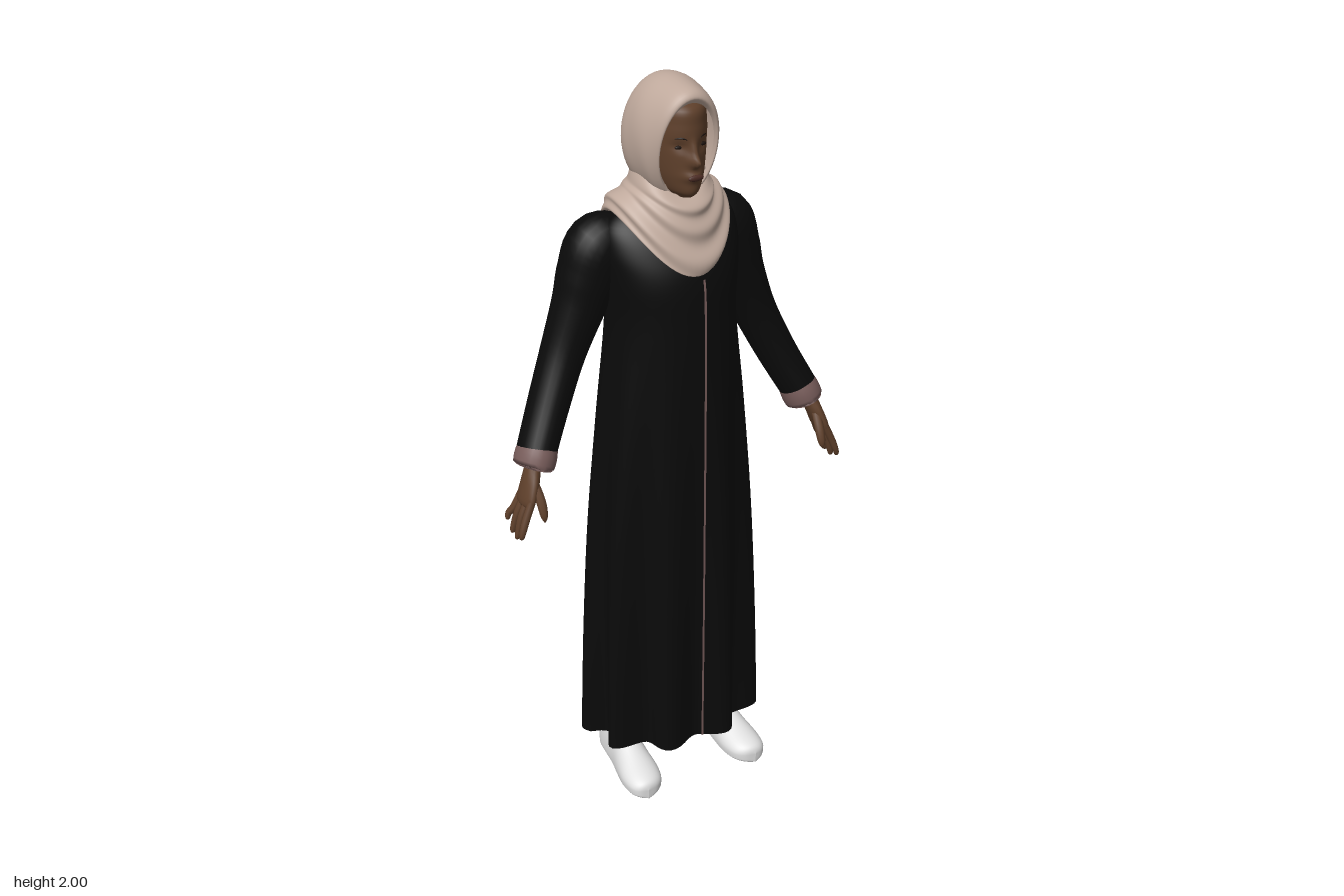
import * as THREE from 'three';

const mat = (name, color, side = THREE.FrontSide) => {
  const m = new THREE.MeshStandardMaterial({ color, side });
  m.name = name;
  return m;
};

// Smooth interpolation through rows of numbers, t from 0 to 1
function along(rows, t) {
  const n = rows.length - 1, f = Math.min(Math.max(t, 0), 1) * n;
  const i = Math.min(Math.floor(f), n - 1), k = f - i;
  const row = (j) => rows[Math.min(Math.max(j, 0), n)];
  return row(i).map((b, c) => {
    const a = row(i - 1)[c], d = row(i + 1)[c], e = row(i + 2)[c];
    return b + 0.5 * k * (d - a + k * (2 * a - 5 * b + 4 * d - e + k * (3 * (b - d) + e - a)));
  });
}

// Skin a grid of points; u runs round the ring, v along the rows
function skin(fn, nu, nv, closed = true) {
  const pos = [], index = [], w = closed ? nu : nu + 1;
  for (let j = 0; j <= nv; j++)
    for (let i = 0; i < w; i++) pos.push(...fn(i / nu, j / nv));
  for (let j = 0; j < nv; j++)
    for (let i = 0; i < nu; i++) {
      const a = j * w + i, b = j * w + ((i + 1) % w), c = a + w, d = b + w;
      index.push(a, b, c, b, d, c);
    }
  const g = new THREE.BufferGeometry();
  g.setAttribute('position', new THREE.Float32BufferAttribute(pos, 3));
  g.setIndex(index);
  g.computeVertexNormals();
  return g;
}

// Limb along rows of [x, y, z, thickness radius, depth radius]
function limb(rows, nu = 12, nv = 12) {
  return skin((u, v) => {
    const [x, y, z, rn, rb] = along(rows, v), a = u * Math.PI * 2;
    const p = along(rows, v - 0.01), q = along(rows, v + 0.01);
    const T = new THREE.Vector3(q[0] - p[0], q[1] - p[1], q[2] - p[2]).normalize();
    const B = new THREE.Vector3(0, 0, 1).addScaledVector(T, -T.z).normalize();
    const N = B.clone().cross(T);
    return new THREE.Vector3(x, y, z)
      .addScaledVector(N, Math.max(rn, 0) * Math.cos(a))
      .addScaledVector(B, Math.max(rb, 0) * Math.sin(a)).toArray();
  }, nu, nv);
}

// Robe rows: height, half width, front z, back z
const robeRows = [
  [0.125, 0.268, 0.197, -0.184], [0.45, 0.256, 0.187, -0.172], [0.8, 0.235, 0.176, -0.16],
  [1.12, 0.203, 0.166, -0.148], [1.37, 0.174, 0.157, -0.137], [1.5, 0.18, 0.149, -0.127],
  [1.58, 0.185, 0.118, -0.118], [1.64, 0.168, 0.075, -0.105], [1.68, 0.1, 0.03, -0.07], [1.69, 0, 0, 0]];

function robePoint(b, t) {
  const [y, hw, zf, zb] = along(robeRows, t);
  const w = Math.min(Math.max((1.35 - y) / 1.2, 0), 1);
  const fold = 1 + (Math.cos(b) > 0 ? 0.11 : 0.06) * w * (-Math.cos(9 * b) - 1);
  const mid = (zf + zb) * 0.25 * (1 - Math.abs(Math.cos(b)));
  const z = Math.cos(b) * (Math.cos(b) > 0 ? zf : -zb);
  return [hw * Math.sin(b) * fold, y, z * fold + mid];
}

// Head rows: height, half width, front z, back z
const headRows = [
  [1.6, 0.05, 0.05, -0.06], [1.7, 0.05, 0.07, -0.06], [1.718, 0.035, 0.11, -0.06],
  [1.735, 0.05, 0.127, -0.07], [1.765, 0.063, 0.13, -0.08], [1.8, 0.071, 0.13, -0.09],
  [1.85, 0.077, 0.128, -0.09], [1.9, 0.077, 0.128, -0.08], [1.945, 0.066, 0.115, -0.06], [1.97, 0, 0.03, 0.03]];

function headPoint(u, v) {
  const b = u * Math.PI * 2, [y, hw, zf, zb] = along(headRows, v);
  const x = hw * Math.sin(b), c = Math.cos(b);
  let z = c * (c > 0 ? zf : -zb);
  if (c > 0) {
    const bump = (px, py, sx, sy) => Math.exp(-(((Math.abs(x) - px) / sx) ** 2) - ((y - py) / sy) ** 2);
    z += 0.027 * bump(0, 1.815, 0.013, 0.014) + 0.012 * bump(0, 1.84, 0.009, 0.022);
    z += 0.011 * bump(0, 1.776, 0.025, 0.012) - 0.008 * bump(0.032, 1.85, 0.016, 0.012);
  }
  return [x, y, z];
}

// Hood rows from the crown's back to the face: z, half width, top y, bottom y, forward lean of the top
const hoodRows = [
  [-0.122, 0, 1.83, 1.83, 0], [-0.115, 0.05, 1.9, 1.75, 0], [-0.095, 0.08, 1.95, 1.7, 0],
  [-0.05, 0.103, 1.988, 1.69, 0], [0, 0.108, 2, 1.69, 0], [0.05, 0.102, 1.998, 1.69, 0.005],
  [0.085, 0.091, 1.988, 1.695, 0.025], [0.1, 0.079, 1.97, 1.705, 0.028], [0.09, 0.073, 1.955, 1.718, 0.025]];

function hoodPoint(u, v) {
  const a = u * Math.PI * 2, [z, hw, top, low, lean] = along(hoodRows, v), s = Math.sin(a);
  const pleat = 1 + 0.012 * Math.sin(v * 22 + s * 3) * Math.sin(v * Math.PI);
  return [hw * Math.cos(a) * pleat, (top + low) / 2 + ((top - low) / 2) * s, z + lean * s];
}

// Neck wrap rows, rim upward: half width, front z, back z, side y, front y, back y
const wrapRows = [
  [0.135, 0.14, -0.175, 1.655, 1.535, 1.475], [0.15, 0.16, -0.203, 1.668, 1.53, 1.465],
  [0.148, 0.15, -0.198, 1.69, 1.575, 1.54], [0.128, 0.135, -0.165, 1.71, 1.625, 1.63],
  [0.107, 0.126, -0.132, 1.722, 1.665, 1.69], [0.1, 0.118, -0.115, 1.735, 1.695, 1.735],
  [0.085, 0.09, -0.09, 1.77, 1.718, 1.79]];

function wrapPoint(u, v) {
  const b = u * Math.PI * 2, [hw, zf, zb, ys, yf, yb] = along(wrapRows, v);
  const s = Math.sin(b), c = Math.cos(b), mid = (zf + zb) / 2;
  const fold = 1 + 0.035 * Math.sin(v * 24 + 2.2 * s + c) * Math.sin(v * Math.PI);
  return [hw * s * fold, ys + ((c > 0 ? yf : yb) - ys) * c * c, mid + ((zf - zb) / 2) * c * fold];
}

// Shoe rows, heel to toe: z, half width, top y
const shoeRows = [
  [-0.098, 0, 0.06], [-0.096, 0.028, 0.11], [-0.07, 0.042, 0.135], [-0.02, 0.045, 0.14], [0.03, 0.046, 0.125],
  [0.08, 0.052, 0.095], [0.13, 0.056, 0.074], [0.175, 0.048, 0.06], [0.198, 0.028, 0.048], [0.205, 0, 0.03]];

function shoePoint(side, u, v) {
  const a = u * Math.PI * 2, [z, hw, top] = along(shoeRows, v), s = Math.sin(a);
  const y = s > 0 ? 0.028 + (top - 0.028) * s : 0.028 * (1 - Math.abs(s) ** 0.4);
  return [side * (0.14 + 0.032 * v) + Math.max(hw, 0) * Math.cos(a), y, z];
}

export function createModel() {
  const model = new THREE.Group();
  const black = mat('robe black', 0x0a0a0a, THREE.DoubleSide);
  const scarf = mat('scarf beige', 0xbfa99c, THREE.DoubleSide);
  const trim = mat('trim mauve', 0x775c5a, THREE.DoubleSide);
  const brown = mat('skin brown', 0x5f402b);
  const white = mat('shoe white', 0xe2e2e2);
  const dark = mat('eye dark', 0x1d130e);
  const lip = mat('lip brown', 0x4c2c24);
  const add = (name, geometry, material, parent = model) => {
    const m = new THREE.Mesh(geometry, material);
    m.name = name;
    parent.add(m);
    return m;
  };

  // Robe and its front opening
  add('robe', skin((u, v) => robePoint(u * Math.PI * 2, v), 108, 48), black);
  add('frontTrim', skin((u, v) => {
    const [, y, z] = robePoint(0.1, v * 0.57);
    return [0.019 + (u - 0.5) * 0.006, y, z + 0.004];
  }, 1, 40, false), trim);

  // Head and headscarf
  add('head', skin(headPoint, 96, 60), brown);
  add('hood', skin(hoodPoint, 48, 40), scarf);
  add('neckWrap', skin(wrapPoint, 64, 48), scarf);
  const mouth = add('lips', new THREE.SphereGeometry(1, 16, 10), lip);
  mouth.scale.set(0.021, 0.008, 0.006);
  mouth.position.set(0, 1.776, 0.138);

  for (const s of [1, -1]) {
    const side = new THREE.Group();
    side.name = s > 0 ? 'leftSide' : 'rightSide';
    model.add(side);
    const flip = (rows) => rows.map(([x, ...rest]) => [s * x, ...rest]);
    const part = (name, rows, material, nu, nv) => add(name, limb(flip(rows), nu, nv), material, side);

    // Face details
    const eye = add('eye', new THREE.SphereGeometry(1, 12, 8), dark, side);
    eye.scale.set(0.012, 0.005, 0.005);
    eye.position.set(s * 0.031, 1.849, 0.109);
    part('eyebrow', [[0.014, 1.868, 0.126, 0, 0], [0.03, 1.874, 0.117, 0.003, 0.003],
      [0.05, 1.868, 0.098, 0, 0]], dark, 6, 8);

    // Sleeve and cuff
    part('sleeve', [[0.1, 1.62, -0.035, 0.03, 0.05], [0.165, 1.578, -0.045, 0.085, 0.078],
      [0.2, 1.5, -0.05, 0.083, 0.078], [0.23, 1.42, -0.05, 0.07, 0.07], [0.28, 1.3, -0.045, 0.058, 0.062],
      [0.335, 1.18, -0.02, 0.053, 0.06], [0.39, 1.07, 0.016, 0.05, 0.058]], black, 24, 30);
    part('cuff', [[0.383, 1.082, 0.012, 0.05, 0.058], [0.392, 1.062, 0.018, 0.053, 0.061],
      [0.402, 1.038, 0.024, 0.051, 0.058], [0.4, 1.043, 0.023, 0.04, 0.046]], trim, 24, 8);

    // Hand
    part('palm', [[0.385, 1.1, 0.02, 0.02, 0.026], [0.408, 1.045, 0.035, 0.02, 0.026],
      [0.425, 1.0, 0.047, 0.019, 0.038], [0.441, 0.955, 0.053, 0.015, 0.04], [0.446, 0.943, 0.054, 0, 0]], brown, 16, 16);
    for (let i = 0; i < 4; i++) {
      const z = 0.083 - 0.021 * i, tip = 0.092 - 0.029 * i, y = [0.873, 0.86, 0.864, 0.888][i];
      part('finger', [[0.436, 0.97, z, 0.01, 0.011], [0.456, 0.925, (z + tip) / 2, 0.0105, 0.0105],
        [0.468, y + 0.02, tip, 0.009, 0.009], [0.472, y + 0.004, tip, 0.006, 0.006], [0.473, y, tip, 0, 0]], brown, 8, 12);
    }
    part('thumb', [[0.418, 1.01, 0.06, 0.012, 0.014], [0.414, 0.97, 0.09, 0.013, 0.013],
      [0.413, 0.935, 0.106, 0.01, 0.01], [0.414, 0.917, 0.111, 0, 0]], brown, 8, 12);

    // Shoe and ankle
    add('shoe', skin((u, v) => shoePoint(s, u, v), 32, 36), white, side);
    const ankle = add('ankle', new THREE.CylinderGeometry(0.042, 0.043, 0.14, 20), white, side);
    ankle.position.set(s * 0.147, 0.14, -0.04);
  }
  return model;
}
